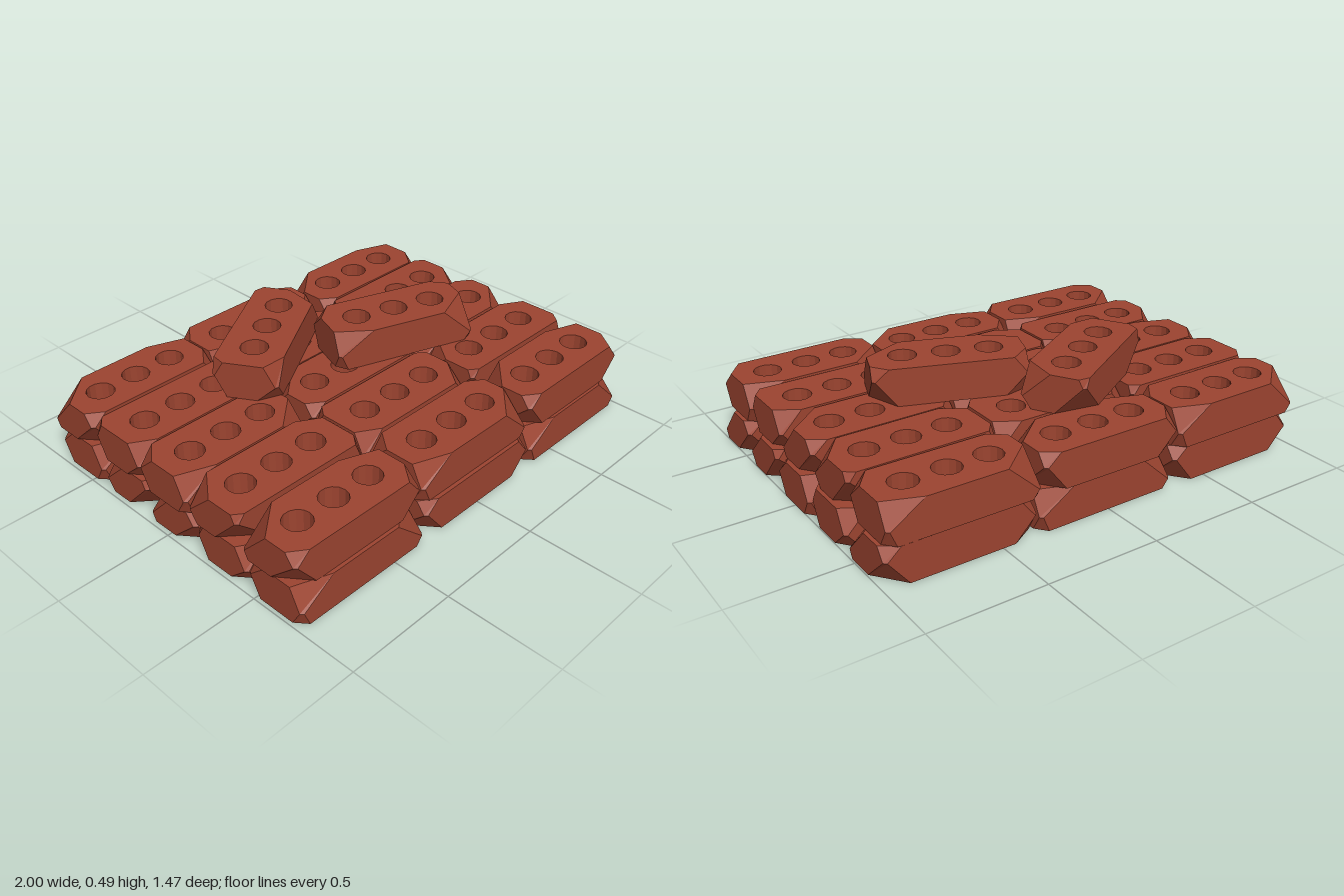
import * as THREE from 'three';

const HX = 0.325, HY = 0.0815, HZ = 0.14;

// Corner chips, counter-clockwise from above (z is -v):
// sign x, sign v, top cut [x, v], height where both chips meet, bottom cut [x, v]
const CORNERS = [
  { sx: 1, sv: 1, top: [0.07, 0.05], mid: 0.03, bottom: [0.1, 0.13] },
  { sx: -1, sv: 1, top: [0.07, 0.09], mid: 0.01, bottom: [0.1, 0.06] },
  { sx: -1, sv: -1, top: [0.16, 0.06], mid: -0.015, bottom: [0.04, 0.05] },
  { sx: 1, sv: -1, top: [0.15, 0.13], mid: -0.045, bottom: [0.04, 0.03] },
];

// Eight-point outline at one level
function ring(cutOf, yOf) {
  const pts = [];
  for (const c of CORNERS) {
    const [cx, cv] = cutOf(c), y = yOf(c);
    const onEnd = new THREE.Vector3(c.sx * HX, y, -c.sv * (HZ - cv));
    const onSide = new THREE.Vector3(c.sx * (HX - cx), y, -c.sv * HZ);
    pts.push(...(c.sx * c.sv > 0 ? [onEnd, onSide] : [onSide, onEnd]));
  }
  return pts;
}

// Round core hole, drawn as a loop at height y
function holeLoop(x, y) {
  const pts = [];
  for (let i = 0; i < 14; i++) {
    const a = (i / 14) * Math.PI * 2;
    pts.push(new THREE.Vector3(x + 0.06 * Math.cos(a), y, -0.06 * Math.sin(a)));
  }
  return pts;
}

function brickGeometry() {
  const pos = [];
  const tri = (a, b, c) => pos.push(...a.toArray(), ...b.toArray(), ...c.toArray());
  // Wall between a lower and an upper loop
  const wall = (lo, up, inward) => lo.forEach((a, i) => {
    const j = (i + 1) % lo.length;
    if (inward) { tri(a, up[j], lo[j]); tri(a, up[i], up[j]); }
    else { tri(a, lo[j], up[j]); tri(a, up[j], up[i]); }
  });
  // Flat face with three holes
  const cap = (outline, holes, up) => {
    const flat = (loop) => loop.map((p) => new THREE.Vector2(p.x, -p.z));
    const all = [outline, ...holes].flat();
    const faces = THREE.ShapeUtils.triangulateShape(flat(outline), holes.map(flat));
    for (const [i, j, k] of faces) {
      const a = all[i], b = all[j], c = all[k];
      const facesUp = (b.x - a.x) * (a.z - c.z) - (c.x - a.x) * (a.z - b.z) > 0;
      if (facesUp === up) tri(a, b, c); else tri(a, c, b);
    }
  };

  const bottom = ring((c) => c.bottom, () => -HY);
  const middle = ring(() => [0.012, 0.012], (c) => c.mid);
  const top = ring((c) => c.top, () => HY);
  const xs = [-0.18, 0, 0.18];
  const lowHoles = xs.map((x) => holeLoop(x, -HY));
  const highHoles = xs.map((x) => holeLoop(x, HY));
  wall(bottom, middle, false);
  wall(middle, top, false);
  lowHoles.forEach((lo, i) => wall(lo, highHoles[i], true));
  cap(bottom, lowHoles, false);
  cap(top, highHoles, true);

  const geo = new THREE.BufferGeometry();
  geo.setAttribute('position', new THREE.Float32BufferAttribute(pos, 3));
  geo.computeVertexNormals();
  return geo;
}

export function createModel() {
  const group = new THREE.Group();
  group.name = 'brickPile';
  const clay = new THREE.MeshStandardMaterial({ color: 0x9c4430 });
  clay.name = 'brick red';
  const geo = brickGeometry();

  // Half turns that vary which corners look chipped
  const flips = [[0, 0, 0], [Math.PI, 0, 0], [0, Math.PI, 0], [0, 0, Math.PI]];
  const addBrick = (name, x, y, z, flip, turn = 0) => {
    const brick = new THREE.Mesh(geo, clay);
    brick.name = name;
    brick.position.set(x, y, z);
    const [rx, ry, rz] = flips[flip];
    brick.rotation.set(rx, ry + turn, rz, 'YXZ');
    group.add(brick);
  };

  let seed = 7;
  const jitter = (amount) => {
    seed = (seed * 16807) % 2147483647;
    return (seed / 2147483647 - 0.5) * 2 * amount;
  };

  // Two stacked layers, three bricks wide and five deep
  const layers = [
    { name: 'lowerBrick', y: HY, xs: [-0.655, 0.005, 0.673], zs: [0.595, 0.3, 0.01, -0.285, -0.58], shift: 0 },
    { name: 'upperBrick', y: 0.247, xs: [-0.67, -0.005, 0.658], zs: [0.585, 0.285, -0.01, -0.295, -0.59], shift: 2 },
  ];
  for (const { name, y, xs, zs, shift } of layers) {
    zs.forEach((z, r) => xs.forEach((x, c) => {
      const flip = (r * 3 + c * 2 + shift + 2 * (r % 2)) % 4;
      addBrick(name, x + jitter(0.004), y, z + jitter(0.004), flip, jitter(0.008));
    }));
  }

  // Two loose bricks lying askew on top
  addBrick('looseBrickRear', -0.195, 0.412, -0.28, 1, 0.54);
  addBrick('looseBrickFront', 0.295, 0.412, 0.0, 0, -0.35);
  return group;
}
